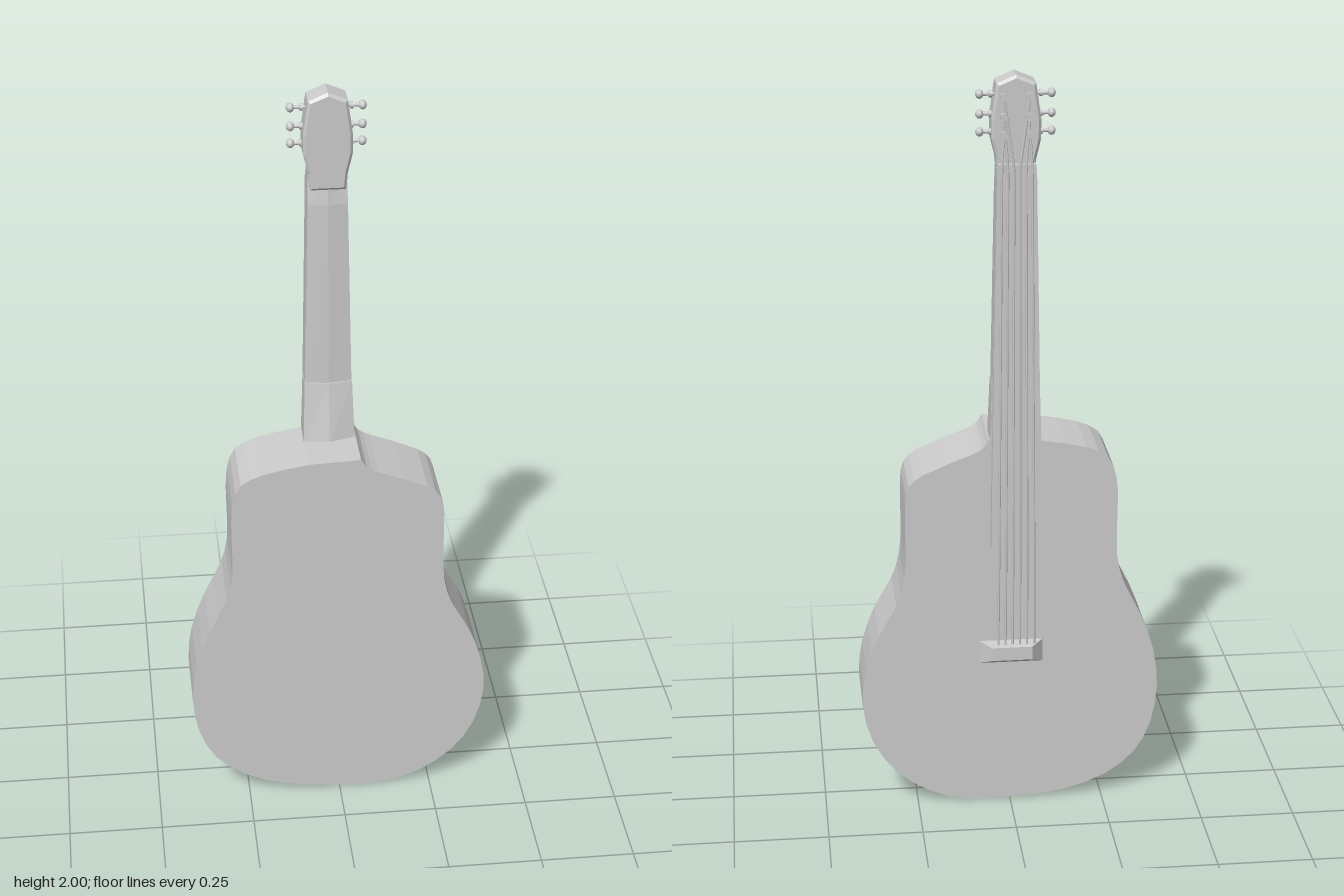
import * as THREE from 'three';

const material = new THREE.MeshStandardMaterial({ color: 0xcccccc });
const NECK_X = -0.015; // the neck sits slightly off centre

function add(parent, name, geometry, x = 0, y = 0, z = 0) {
  const mesh = new THREE.Mesh(geometry, material);
  mesh.name = name;
  mesh.position.set(x, y, z);
  parent.add(mesh);
  return mesh;
}

// Flat-shaded loft through [y, halfWidth, zStrings, zBackEdge, zBackRidge]
function loft(sections) {
  const pos = [];
  const rings = sections.map(([y, w, zf, ze, zr]) =>
    [[-w, y, zf], [-w, y, ze], [0, y, zr], [w, y, ze], [w, y, zf]]);
  const n = rings[0].length;
  for (let s = 0; s < rings.length - 1; s++) {
    for (let i = 0; i < n; i++) {
      const j = (i + 1) % n;
      const a = rings[s][i], b = rings[s][j], c = rings[s + 1][j], d = rings[s + 1][i];
      pos.push(...a, ...b, ...c, ...a, ...c, ...d);
    }
  }
  const low = rings[0], high = rings[rings.length - 1];
  for (let i = 1; i < n - 1; i++) {
    pos.push(...high[0], ...high[i], ...high[i + 1]);
    pos.push(...low[0], ...low[i + 1], ...low[i]);
  }
  const g = new THREE.BufferGeometry();
  g.setAttribute('position', new THREE.Float32BufferAttribute(pos, 3));
  g.computeVertexNormals();
  return g;
}

function bodyGeometry() {
  const outline = [
    [-0.08, 1.038], [-0.2, 1.015], [-0.258, 0.985], [-0.28, 0.93], [-0.285, 0.86],
    [-0.285, 0.71], [-0.302, 0.635], [-0.35, 0.535], [-0.387, 0.43], [-0.4, 0.32],
    [-0.383, 0.21], [-0.34, 0.125], [-0.26, 0.06], [-0.15, 0.02], [0, 0.003],
    [0.12, 0.004], [0.22, 0.035], [0.31, 0.1], [0.37, 0.19], [0.396, 0.3],
    [0.385, 0.4], [0.35, 0.5], [0.302, 0.585], [0.28, 0.66], [0.275, 0.75],
    [0.275, 0.87], [0.265, 0.92], [0.23, 0.952], [0.1, 1.005], [0.07, 1.022], [0.055, 1.044],
  ].map(([x, y]) => new THREE.Vector3(x, y, 0));
  const curve = new THREE.CatmullRomCurve3(outline, false, 'centripetal');
  const shape = new THREE.Shape(curve.getPoints(60).map(p => new THREE.Vector2(p.x, p.y)));
  return new THREE.ExtrudeGeometry(shape, { depth: 0.2, bevelEnabled: false });
}

function headGeometry() {
  const b = 0.007;
  const half = [[0.046, 1.75], [0.05, 1.79], [0.062, 1.84], [0.062, 1.89], [0.05, 1.975]];
  const points = [
    ...half.map(([x, y]) => [x - b, y]),
    [0, 2 - b],
    ...half.map(([x, y]) => [b - x, y]).reverse(),
  ].map(p => new THREE.Vector2(...p));
  return new THREE.ExtrudeGeometry(new THREE.Shape(points), {
    depth: 0.061, bevelEnabled: true, bevelSize: b, bevelThickness: b, bevelSegments: 1,
  });
}

// Bridge: a block whose ends and long sides slope in towards the strings
function bridgeGeometry() {
  const g = new THREE.BoxGeometry(0.17, 0.065, 0.035).toNonIndexed();
  const p = g.attributes.position;
  for (let i = 0; i < p.count; i++) {
    if (p.getZ(i) < 0) {
      p.setX(i, p.getX(i) * 0.63);
      p.setY(i, p.getY(i) > 0 ? 0.025 : -0.012);
    }
  }
  g.computeVertexNormals();
  return g;
}

export function createModel() {
  const guitar = new THREE.Group();
  guitar.name = 'guitar';

  add(guitar, 'body', bodyGeometry(), 0, 0, -0.083);
  const hole = add(guitar, 'soundHole', new THREE.CircleGeometry(0.1, 32), -0.01, 0.67, -0.0845);
  hole.rotation.y = Math.PI;
  add(guitar, 'bridge', bridgeGeometry(), -0.003, 0.442, -0.1);

  // Neck, heel and fretboard share the same tapered section
  const neck = new THREE.Group();
  neck.name = 'neck';
  neck.position.x = NECK_X;
  guitar.add(neck);
  add(neck, 'neckShaft', loft([
    [1.03, 0.064, -0.09, -0.028, -0.02],
    [1.7, 0.051, -0.09, -0.034, -0.026],
    [1.78, 0.049, -0.09, -0.045, -0.035],
  ]));
  add(neck, 'heel', loft([
    [1.035, 0.067, -0.083, -0.005, 0.01],
    [1.2, 0.062, -0.083, -0.026, -0.017],
  ]));
  add(neck, 'fretboard', loft([
    [0.75, 0.067, -0.108, -0.083, -0.083],
    [1.77, 0.05, -0.106, -0.089, -0.089],
  ]));
  add(neck, 'nut', new THREE.BoxGeometry(0.096, 0.014, 0.022), 0, 1.772, -0.098);
  add(neck, 'headstock', headGeometry(), 0, 0, -0.088);

  // Tuners: a side shaft with an oval knob and a string post, three per side
  const tunerY = [1.855, 1.9, 1.95];
  for (const side of [-1, 1]) {
    for (const y of tunerY) {
      const tuner = new THREE.Group();
      tuner.name = 'tuner';
      tuner.position.set(0, y, -0.067);
      neck.add(tuner);
      const shaft = add(tuner, 'tunerShaft', new THREE.CylinderGeometry(0.005, 0.005, 0.04, 8), side * 0.07);
      shaft.rotation.z = Math.PI / 2;
      const collar = add(tuner, 'tunerCollar', new THREE.CylinderGeometry(0.009, 0.009, 0.008, 10), side * 0.063);
      collar.rotation.z = Math.PI / 2;
      const knob = add(tuner, 'tunerKnob', new THREE.SphereGeometry(0.014, 12, 8), side * 0.09);
      knob.scale.set(0.75, 0.85, 1.05);
      const post = add(tuner, 'stringPost', new THREE.CylinderGeometry(0.006, 0.006, 0.03, 10), side * 0.033, 0, -0.033);
      post.rotation.x = Math.PI / 2;
      const cap = add(tuner, 'postCap', new THREE.CylinderGeometry(0.01, 0.01, 0.008, 10), side * 0.033, 0, -0.043);
      cap.rotation.x = Math.PI / 2;
    }
  }

  // Strings run from the bridge over the nut to their posts
  for (let i = 0; i < 6; i++) {
    const t = (i - 2.5) / 2.5;
    const side = Math.sign(t);
    const postY = tunerY[i < 3 ? i : 5 - i];
    const path = new THREE.CurvePath();
    const points = [
      [t * 0.048, 0.45, -0.102],
      [t * 0.046, 0.75, -0.111],
      [t * 0.038, 1.775, -0.111],
      [side * 0.033, postY, -0.104],
    ].map(p => new THREE.Vector3(...p));
    for (let k = 0; k < 3; k++) path.add(new THREE.LineCurve3(points[k], points[k + 1]));
    add(neck, 'string', new THREE.TubeGeometry(path, 40, 0.003, 6));
  }
  return guitar;
}
